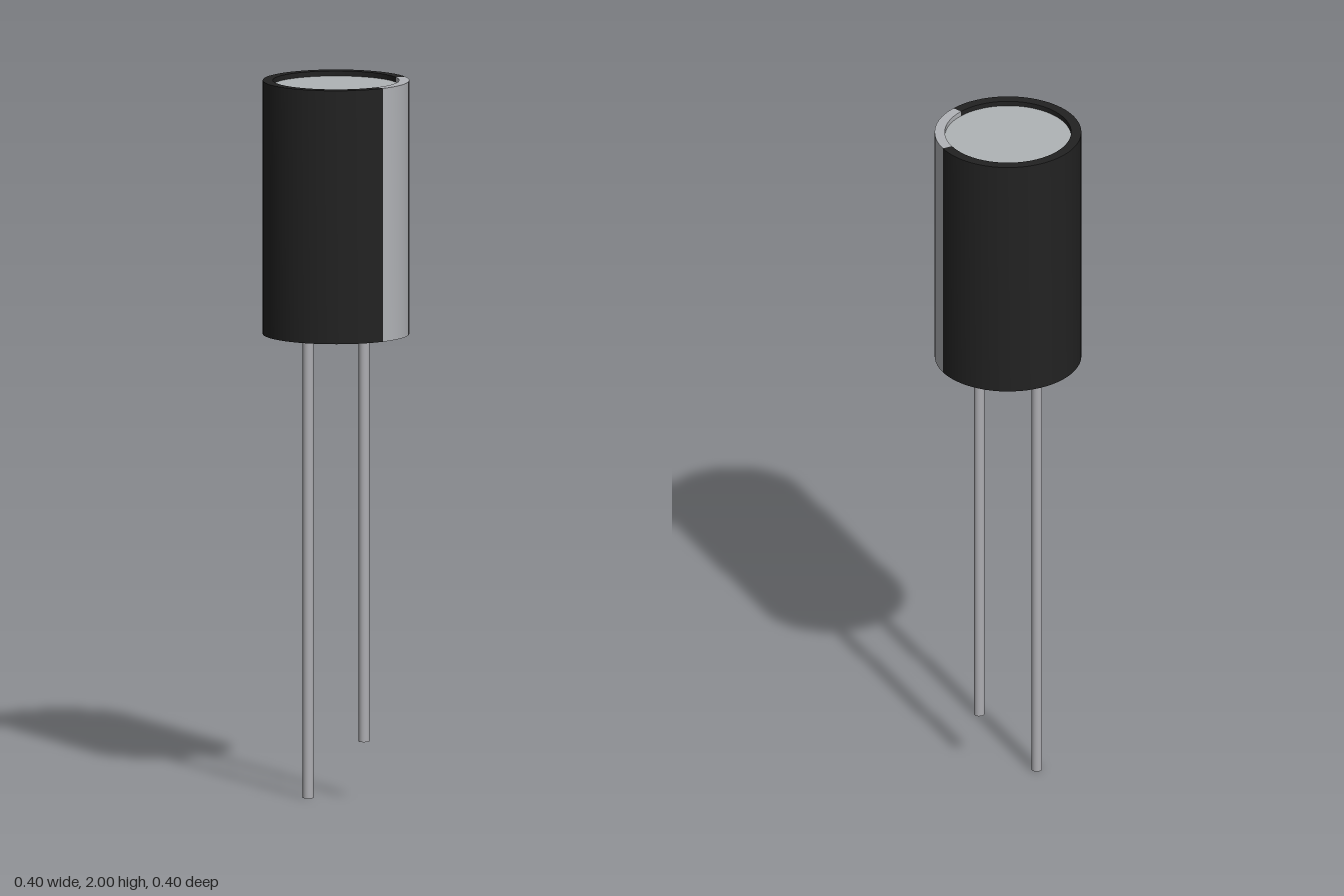
import * as THREE from 'three';
import { toCreasedNormals } from 'three/addons/utils/BufferGeometryUtils.js';

const R = 0.202, RIM = 0.174, BASE = 1.295, TOP = 2, RECESS = 0.014;
const STRIPE_HALF = 0.605; // half angle of the polarity stripe, centred on +x

export function createModel() {
  const material = (name, color) => {
    const m = new THREE.MeshStandardMaterial({ color });
    m.name = name;
    return m;
  };
  const black = material('black sleeve', 0x222222);
  const stripe = material('stripe grey', 0xb2b4b8);
  const aluminium = material('aluminium', 0xb0b4b6);
  const wire = material('lead wire', 0xaeaeb2);

  const group = new THREE.Group();
  group.name = 'capacitor';
  const add = (name, geometry, mat, x = 0, y = 0) => {
    const mesh = new THREE.Mesh(geometry, mat);
    mesh.name = name;
    mesh.position.set(x, y, 0);
    group.add(mesh);
  };

  // Sleeve sectors: closed base, wall, folded rim and inner lip
  const profile = [
    [0, BASE], [R, BASE], [R, TOP], [RIM, TOP], [RIM, TOP - RECESS],
  ].map(([x, y]) => new THREE.Vector2(x, y));
  const sector = (segments, start, length) =>
    toCreasedNormals(new THREE.LatheGeometry(profile, segments, start, length), 0.6);
  const stripeEnd = Math.PI / 2 + STRIPE_HALF;
  add('sleeve', sector(52, stripeEnd, Math.PI * 2 - STRIPE_HALF * 2), black);
  add('polarityStripe', sector(12, Math.PI / 2 - STRIPE_HALF, STRIPE_HALF * 2), stripe);

  // Recessed metal top of the can
  const disc = new THREE.CircleGeometry(RIM, 64);
  disc.rotateX(-Math.PI / 2);
  add('canTop', disc, aluminium, 0, TOP - RECESS);

  // Wire leads, the one below the stripe is shorter
  for (const [name, x, end] of [['longLead', -0.08, 0], ['shortLead', 0.08, 0.163]]) {
    const length = BASE - end;
    add(name, new THREE.CylinderGeometry(0.015, 0.015, length, 16), wire, x, end + length / 2);
  }
  return group;
}
